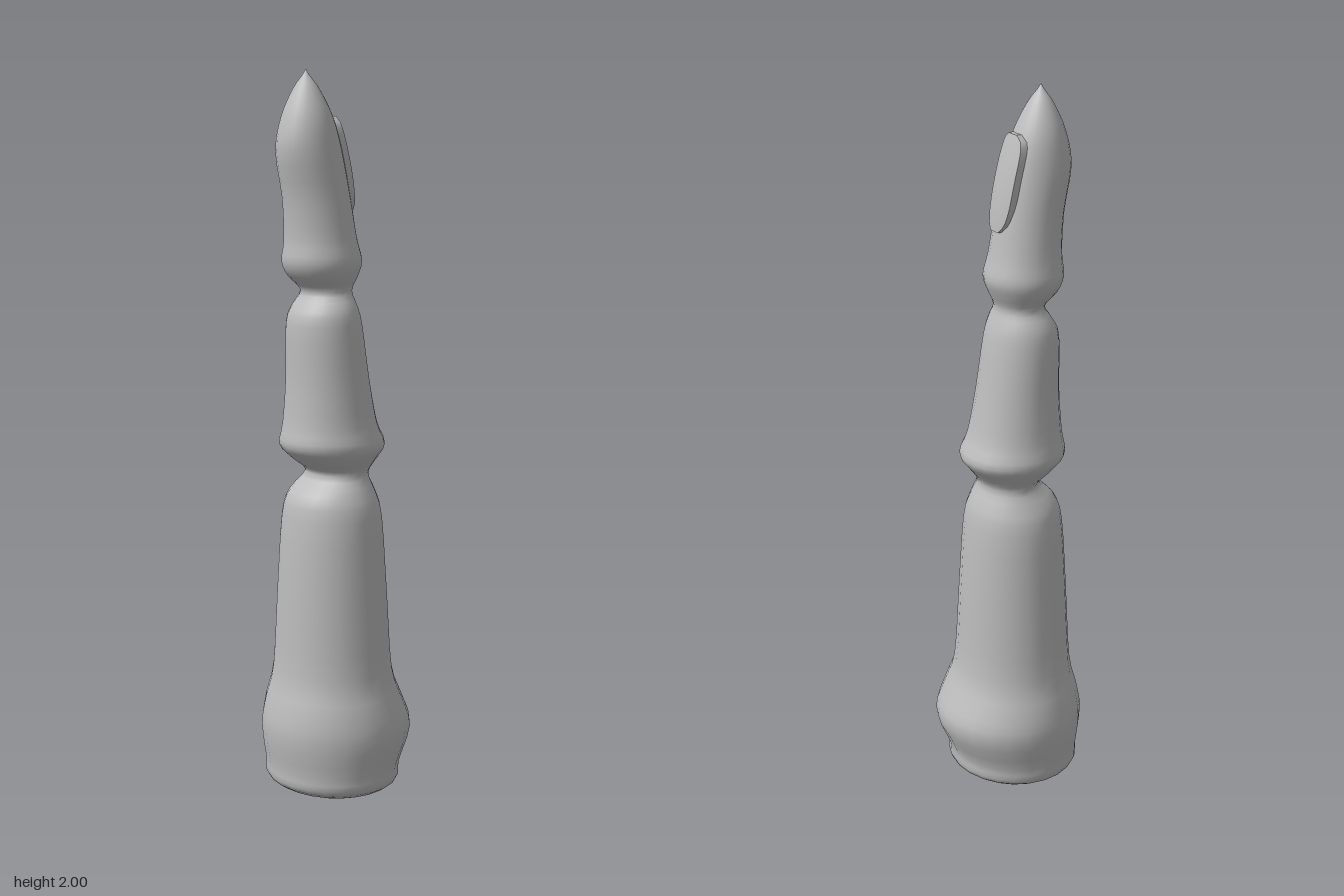
import * as THREE from 'three';

// Key cross-sections of the finger: height, half width, front z, back z
const SECTIONS = [
  // rounded base and bulge
  [0, 0.001, 0.01, 0.008], [0.015, 0.11, 0.11, -0.09], [0.05, 0.19, 0.188, -0.16],
  [0.1, 0.199, 0.195, -0.166], [0.2, 0.213, 0.208, -0.205], [0.28, 0.199, 0.196, -0.178],
  [0.37, 0.175, 0.175, -0.147],
  // first segment and joint
  [0.58, 0.161, 0.164, -0.133], [0.8, 0.146, 0.15, -0.118], [0.87, 0.124, 0.128, -0.1],
  [0.92, 0.099, 0.078, -0.08], [0.96, 0.122, 0.122, -0.105], [1.0, 0.143, 0.16, -0.131],
  [1.06, 0.13, 0.151, -0.106],
  // second segment and joint
  [1.18, 0.119, 0.142, -0.081], [1.33, 0.111, 0.141, -0.057], [1.38, 0.098, 0.122, -0.043],
  [1.42, 0.077, 0.1, -0.031], [1.46, 0.099, 0.138, -0.047], [1.5, 0.11, 0.156, -0.059],
  [1.56, 0.1, 0.15, -0.044],
  // fingertip
  [1.67, 0.09, 0.158, -0.025], [1.79, 0.083, 0.181, -0.001], [1.88, 0.068, 0.164, 0.027],
  [1.95, 0.037, 0.133, 0.063], [1.985, 0.011, 0.109, 0.089], [2.0, 0.001, 0.1, 0.098],
];

// Closed loft of elliptical rings, smoothed between the key sections
function loft(sections, sides, steps) {
  const keys = sections.map((section, i) => i);
  const curve = new THREE.CubicInterpolant(keys, sections.flat(), 4, new Float32Array(4));
  const rings = (sections.length - 1) * steps;
  const positions = [];
  const indices = [];
  for (let i = 0; i <= rings; i++) {
    const [y, rx, front, back] = curve.evaluate(i / steps);
    for (let j = 0; j < sides; j++) {
      const a = (j / sides) * Math.PI * 2;
      positions.push(rx * Math.cos(a), y, (front + back) / 2 + ((front - back) / 2) * Math.sin(a));
      if (i === rings) continue;
      const p = i * sides + j;
      const q = i * sides + ((j + 1) % sides);
      indices.push(p, p + sides, q, q, p + sides, q + sides);
    }
  }
  const geometry = new THREE.BufferGeometry();
  geometry.setAttribute('position', new THREE.Float32BufferAttribute(positions, 3));
  geometry.setIndex(indices);
  geometry.computeVertexNormals();
  return geometry;
}

// Thin plate with rounded ends, bent around the back of the fingertip
function nailGeometry() {
  const geometry = new THREE.BoxGeometry(2, 2, 0.02, 8, 16, 1);
  const pos = geometry.attributes.position;
  for (let i = 0; i < pos.count; i++) {
    const v = pos.getY(i);
    const power = v > 0 ? 4 : 3;
    const halfWidth = 0.05 * Math.max(0.4, Math.pow(1 - Math.pow(Math.abs(v), power), 1 / power));
    const x = pos.getX(i) * halfWidth;
    const z = -0.012 + v * 0.028 + 0.008 * v * v + 4.5 * x * x;
    pos.setXYZ(i, x, 1.755 + v * 0.125, z + pos.getZ(i));
  }
  geometry.computeVertexNormals();
  return geometry;
}

export function createModel() {
  const group = new THREE.Group();
  group.name = 'finger';
  const grey = new THREE.MeshStandardMaterial({ color: 0xbcbcbc });
  grey.name = 'grey';

  const body = new THREE.Mesh(loft(SECTIONS, 24, 3), grey);
  body.name = 'fingerBody';
  const nail = new THREE.Mesh(nailGeometry(), grey);
  nail.name = 'fingernail';
  group.add(body, nail);
  return group;
}
